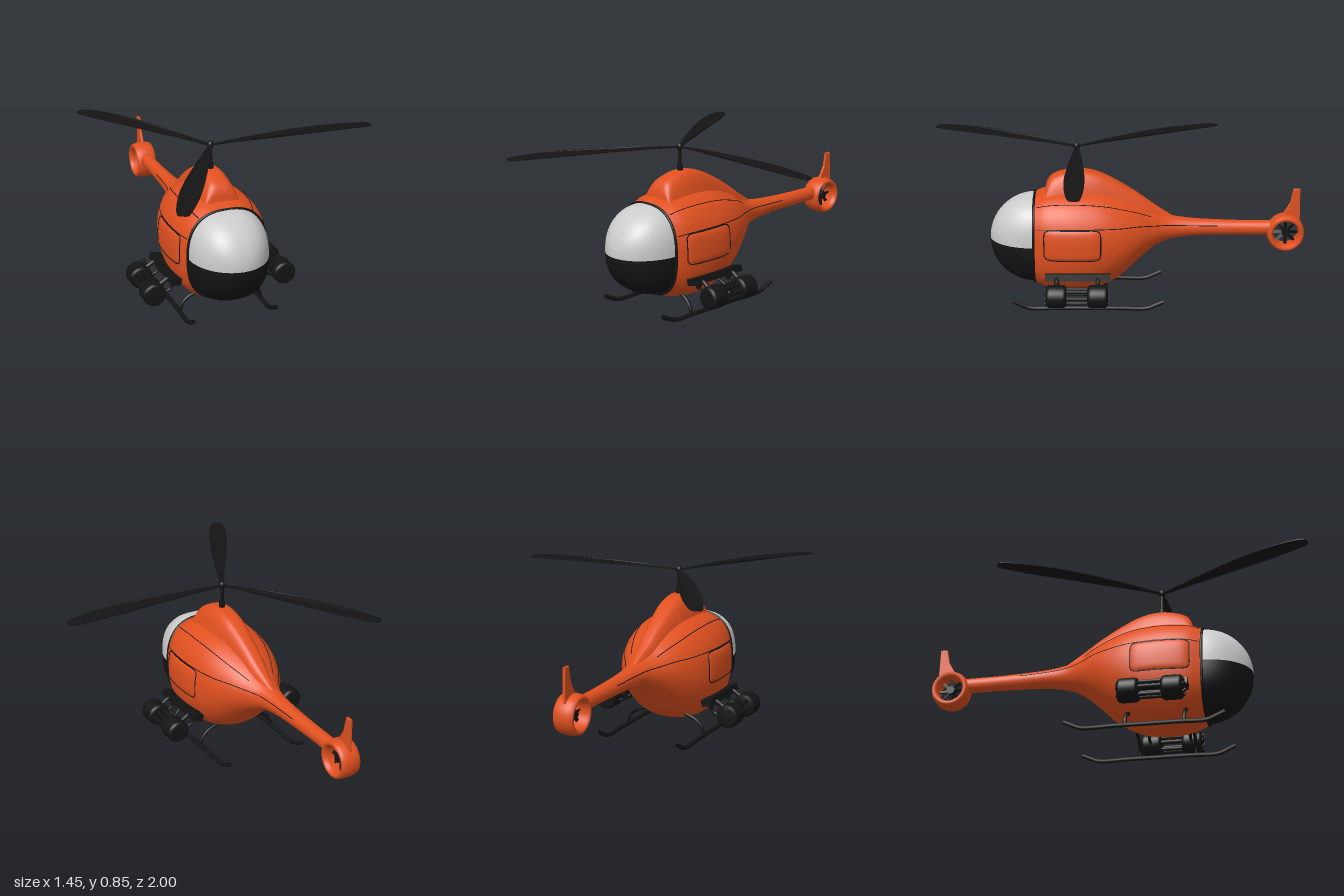
import * as THREE from 'three';
import { ParametricGeometry } from 'three/addons/geometries/ParametricGeometry.js';

const V = (x, y, z) => new THREE.Vector3(x, y, z);
const paint = (color) => new THREE.MeshStandardMaterial({ color, side: THREE.DoubleSide });
const orange = paint(0xe0501f), black = paint(0x141414), grey = paint(0xcccccc);

function add(parent, name, geometry, material) {
  const mesh = new THREE.Mesh(geometry, material);
  mesh.name = name;
  parent.add(mesh);
  return mesh;
}
const tube = (points, r, closed = false, sides = 8) =>
  new THREE.TubeGeometry(new THREE.CatmullRomCurve3(points, closed), points.length * 6, r, sides, closed);
function rod(parent, name, a, b, r, material = black, sides = 16) {
  const m = add(parent, name, new THREE.CylinderGeometry(r, r, a.distanceTo(b), sides), material);
  m.position.copy(a).lerp(b, 0.5);
  m.quaternion.setFromUnitVectors(V(0, 1, 0), b.clone().sub(a).normalize());
  return m;
}

// Fuselage stations: z, top, bottom, half width, roundness exponent
const stations = [
  [0.22, 0.565, 0.1, 0.203, 2.6], [0.15, 0.59, 0.072, 0.23, 2.5], [0.06, 0.602, 0.056, 0.243, 2.4],
  [-0.04, 0.603, 0.056, 0.244, 2.3], [-0.14, 0.592, 0.08, 0.232, 2.2], [-0.23, 0.565, 0.132, 0.205, 2.1],
  [-0.32, 0.525, 0.215, 0.16, 2], [-0.4, 0.478, 0.282, 0.105, 2], [-0.48, 0.45, 0.32, 0.064, 2],
  [-0.6, 0.432, 0.338, 0.046, 2], [-0.8, 0.422, 0.344, 0.037, 2], [-1.01, 0.419, 0.344, 0.034, 2]];
const heights = new THREE.CatmullRomCurve3(stations.map((s) => V(s[0], s[1], s[2])), false, 'catmullrom', 0.5);
const widths = new THREE.CatmullRomCurve3(stations.map((s) => V(s[0], s[3], s[4])), false, 'catmullrom', 0.5);

// Point on a superellipse at angle a
function ring(a, hw, hh, n) {
  const c = Math.cos(a), s = Math.sin(a);
  const r = (Math.abs(c) ** n + Math.abs(s) ** n) ** (-1 / n);
  return [hw * c * r, hh * s * r];
}
function hull(u, a, grow = 0) {
  const h = heights.getPoint(u), w = widths.getPoint(u);
  const [x, y] = ring(a, w.y + grow, (h.y - h.z) / 2 + grow, w.z);
  return V(x, (h.y + h.z) / 2 + y, h.x);
}
// Side surface point at a given z and height, found by bisection
function sidePoint(side, z, y, grow) {
  let lo = 0, hi = 1;
  for (let i = 0; i < 24; i++) {
    const mid = (lo + hi) / 2;
    if (heights.getPoint(mid).x > z) lo = mid; else hi = mid;
  }
  const h = heights.getPoint(lo), w = widths.getPoint(lo);
  const v = Math.abs((2 * y - h.y - h.z) / (h.y - h.z));
  return V(side * (w.y * Math.max(0, 1 - v ** w.z) ** (1 / w.z) + grow), y, z);
}

function buildBody(g) {
  add(g, 'fuselage', new ParametricGeometry((u, v, t) => t.copy(hull(u, v * Math.PI * 2)), 80, 64), orange);

  // Windscreen dome: clear upper half, dark lower half
  const dome = (start) => new ParametricGeometry((u, v, t) => {
    const e = (0.003 + 0.997 * u) * Math.PI / 2;
    const [x, y] = ring(start + v * Math.PI, 0.2, 0.23, 2.5);
    t.set(x * Math.sin(e), 0.334 + y * Math.sin(e), 0.217 + 0.237 * Math.cos(e));
  }, 32, 40);
  add(g, 'windscreen', dome(0), grey);
  add(g, 'lowerNose', dome(Math.PI), black);
  const rim = [];
  for (let i = 0; i < 40; i++) rim.push(hull(0, i / 40 * Math.PI * 2));
  add(g, 'windscreenRim', tube(rim, 0.007, true), black);

  // Engine cowling along the roof: z, top, half width of crown
  const crest = new THREE.CatmullRomCurve3([[0.165, 0.585, 0.075], [0.155, 0.63, 0.073], [0.13, 0.665, 0.072],
    [0.07, 0.69, 0.072], [0, 0.701, 0.071], [-0.1, 0.686, 0.066], [-0.2, 0.64, 0.056], [-0.3, 0.58, 0.044],
    [-0.4, 0.51, 0.032], [-0.5, 0.445, 0.018]].map((p) => V(...p)));
  add(g, 'engineCowling', new ParametricGeometry((u, v, t) => {
    const p = crest.getPoint(u), base = Math.min(0.52, p.y - 0.03) - 0.06 * u;
    const [x, y] = ring(v * Math.PI, p.z, 1, 3.5);
    t.set(x * (1.55 - 0.5 * y), base + (p.y - base) * y, p.x);
  }, 50, 40), orange);
  const face = new THREE.Shape([[-0.116, 0.5], [0.116, 0.5], [0.085, 0.57], [0.06, 0.585], [-0.06, 0.585],
    [-0.085, 0.57]].map((p) => new THREE.Vector2(...p)));
  add(g, 'cowlingFront', new THREE.ShapeGeometry(face), orange).position.z = 0.163;

  // Panel seams and doors on both sides
  for (const side of [1, -1]) {
    for (const [angle, end] of [[0.42, 0.88], [0.9, 0.62]]) {
      const line = [];
      for (let i = 0; i <= 24; i++) line.push(hull(0.02 + (end - 0.02) * i / 24, side > 0 ? angle : Math.PI - angle));
      add(g, 'panelSeam', tube(line, 0.0022, false, 5), black);
    }
    const corner = (a) => {
      const [dz, dy] = ring(a, 0.145, 0.08, 8);
      return [0.02 + dz, 0.36 + dy];
    };
    const outline = [];
    for (let i = 0; i < 48; i++) outline.push(sidePoint(side, ...corner(i / 48 * Math.PI * 2), 0.001));
    add(g, 'doorSeam', tube(outline, 0.003, true, 5), black);
    add(g, 'door', new ParametricGeometry((u, v, t) => {
      const [z, y] = corner(-side * v * Math.PI * 2), k = 0.01 + 0.98 * u;
      t.copy(sidePoint(side, 0.02 + (z - 0.02) * k, 0.36 + (y - 0.36) * k, 0.007 * (1 - k ** 8)));
    }, 16, 40), orange);
  }
}

function buildTail(g) {
  const tail = new THREE.Group();
  tail.name = 'tailFan';
  tail.position.set(0, 0.358, -1.09);
  g.add(tail);
  // Rounded duct around the fan
  const profile = [[0.066, -0.03], [0.07, -0.046], [0.08, -0.054], [0.09, -0.048], [0.096, -0.03], [0.098, 0],
    [0.096, 0.03], [0.09, 0.048], [0.08, 0.054], [0.07, 0.046], [0.066, 0.03], [0.066, -0.03]];
  add(tail, 'fanDuct', new THREE.LatheGeometry(profile.map((p) => new THREE.Vector2(...p)), 48), orange)
    .rotation.z = Math.PI / 2;
  rod(tail, 'fanHub', V(-0.022, 0, 0), V(0.022, 0, 0), 0.021);
  for (let i = 0; i < 8; i++) {
    const arm = new THREE.Group();
    arm.rotation.x = i * Math.PI / 4;
    tail.add(arm);
    const blade = add(arm, 'fanBlade', new THREE.BoxGeometry(0.004, 0.05, 0.017), black);
    blade.position.y = 0.04;
    blade.rotation.y = 0.45;
  }
  // Swept fin
  const fin = new THREE.Shape([[-0.03, 0.07], [0.07, 0.07], [0.066, 0.232], [0.036, 0.232], [0.022, 0.16],
    [-0.012, 0.1]].map((p) => new THREE.Vector2(...p)));
  const finGeo = new THREE.ExtrudeGeometry(fin, { depth: 0.008, bevelSize: 0.003, bevelThickness: 0.003, bevelSegments: 2 });
  finGeo.translate(0, 0, -0.004).rotateY(Math.PI / 2);
  add(tail, 'tailFin', finGeo, orange);
}

function buildRotor(g) {
  rod(g, 'mast', V(0, 0.68, 0), V(0, 0.83, 0), 0.009);
  rod(g, 'mastBase', V(0, 0.69, 0), V(0, 0.728, 0), 0.015);
  const hub = add(g, 'rotorHub', new THREE.SphereGeometry(0.017, 16, 12), black);
  hub.position.y = 0.823;
  hub.scale.y = 1.2;
  const s = new THREE.Shape();
  s.moveTo(0, -0.008);
  s.bezierCurveTo(0.25, -0.02, 0.5, -0.056, 0.66, -0.052);
  s.bezierCurveTo(0.74, -0.05, 0.87, -0.04, 0.872, -0.02);
  s.bezierCurveTo(0.874, 0.015, 0.87, 0.025, 0.85, 0.028);
  s.bezierCurveTo(0.7, 0.055, 0.5, 0.055, 0, 0.008);
  const geo = new THREE.ExtrudeGeometry(s, { depth: 0.005, bevelEnabled: false, curveSegments: 16 });
  geo.rotateX(-Math.PI / 2);
  // Slight arch and pitch
  const p = geo.attributes.position;
  for (let i = 0; i < p.count; i++) {
    const x = p.getX(i);
    p.setY(i, p.getY(i) + 0.05 * x - 0.066 * x * x + p.getZ(i) * 0.04);
  }
  geo.computeVertexNormals();
  for (const degrees of [0.5, 121.5, 241.5]) {
    const blade = add(g, 'rotorBlade', geo, black);
    blade.position.y = 0.818;
    blade.rotation.y = THREE.MathUtils.degToRad(degrees);
  }
}

function buildSide(g, side) {
  const P = (x, y, z) => V(side * x, y, z);
  // Landing skid with turned-up ends and curved struts
  add(g, 'skid', tube([P(0.217, 0.048, 0.33), P(0.217, 0.03, 0.29), P(0.217, 0.012, 0.245), P(0.217, 0.012, 0.1),
    P(0.217, 0.012, -0.2), P(0.217, 0.012, -0.365), P(0.217, 0.03, -0.41), P(0.217, 0.048, -0.45)], 0.0115), black);
  for (const z of [0.135, -0.15]) {
    add(g, 'skidStrut', tube([P(0.217, 0.01, z), P(0.208, 0.05, z), P(0.175, 0.088, z), P(0.1, 0.118, z)], 0.009), black);
  }
  // Pod mount: rail on the hull, arms out to the pod
  const rail = add(g, 'podRail', new THREE.BoxGeometry(0.055, 0.035, 0.335), black);
  rail.position.copy(P(0.242, 0.193, -0.008));
  rail.rotation.z = side * 0.25;
  for (const z of [0.1, -0.11]) {
    add(g, 'podArm', tube([P(0.23, 0.15, z), P(0.265, 0.19, z), P(0.3, 0.172, z), P(0.345, 0.15, z)], 0.012), black);
    add(g, 'podBrace', tube([P(0.24, 0.18, z), P(0.255, 0.13, z), P(0.32, 0.118, z)], 0.008), black);
    // Rounded drum
    const drum = [[0, -0.052], [0.046, -0.052], [0.056, -0.044], [0.059, -0.034], [0.059, 0.034], [0.056, 0.044],
      [0.046, 0.052], [0, 0.052]].map((q) => new THREE.Vector2(...q));
    const m = add(g, 'podDrum', new THREE.LatheGeometry(drum, 28), black);
    m.position.copy(P(0.347, 0.13, z));
    m.rotation.x = Math.PI / 2;
  }
  // Barrels linking the drums and showing at the mouth
  for (let i = 0; i < 6; i++) {
    const a = i * Math.PI / 3, x = 0.347 + 0.036 * Math.cos(a), y = 0.13 + 0.036 * Math.sin(a);
    rod(g, 'podBarrel', P(x, y, -0.166), P(x, y, 0.158), 0.01, black, 10);
  }
}

export function createModel() {
  const model = new THREE.Group();
  model.name = 'helicopter';
  const craft = new THREE.Group();
  craft.name = 'craft';
  craft.position.set(-0.14, 0, 0.17);
  craft.rotation.y = 0.165;
  model.add(craft);
  buildBody(craft);
  buildTail(craft);
  buildRotor(craft);
  for (const side of [1, -1]) buildSide(craft, side);
  return model;
}
